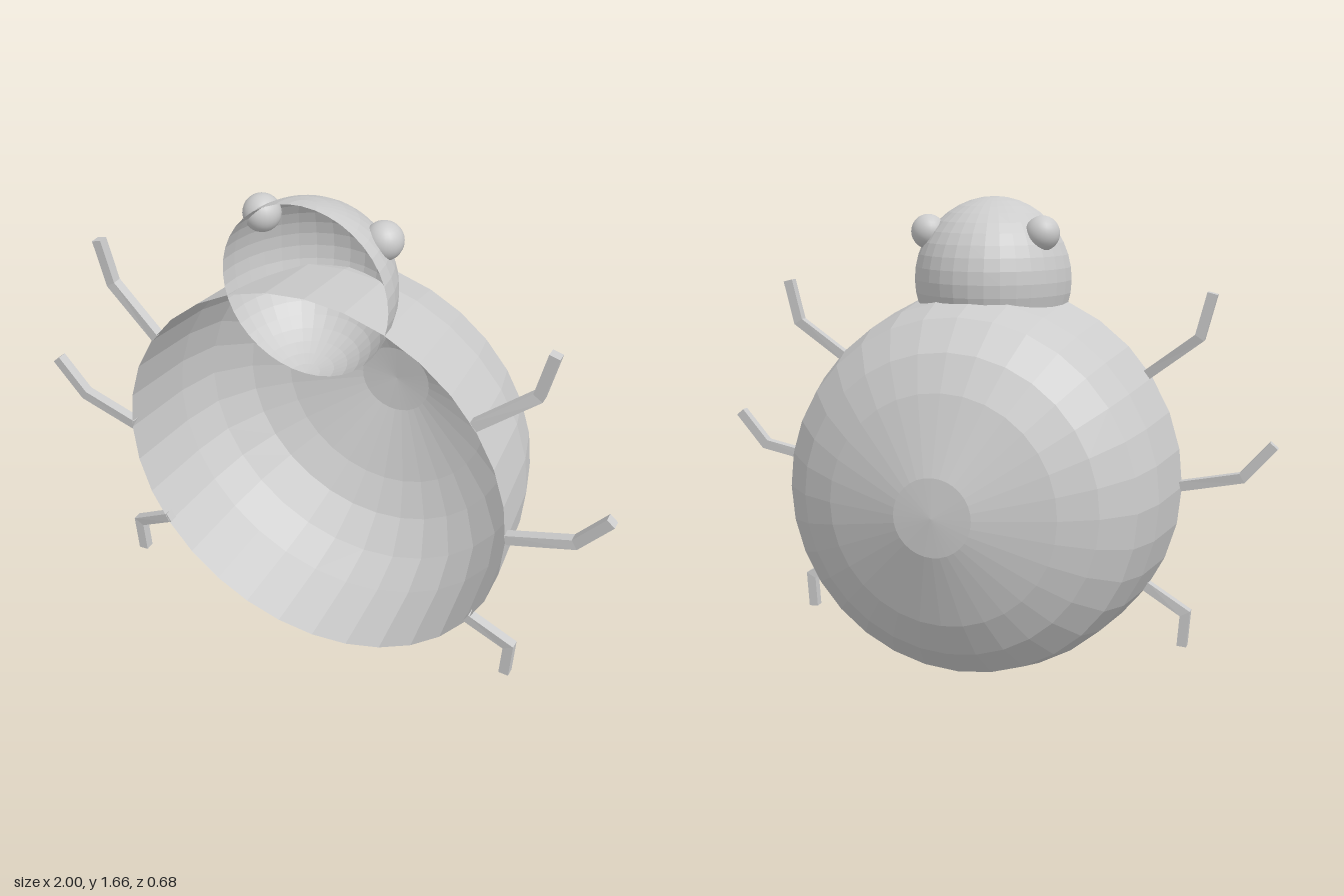
import * as THREE from 'three';

const material = new THREE.MeshStandardMaterial({ color: 0xcccccc, flatShading: true, side: THREE.DoubleSide });
const smooth = new THREE.MeshStandardMaterial({ color: 0xcccccc });

function addMesh(parent, name, geometry, mat = material) {
  const mesh = new THREE.Mesh(geometry, mat);
  mesh.name = name;
  parent.add(mesh);
  return mesh;
}

// Rectangular bar swept along a path of [x, y, z] points, mitred at the bends
function barGeometry(path, width, depth) {
  const pts = path.map((p) => new THREE.Vector3(...p));
  const dir = (i) => new THREE.Vector2(pts[i + 1].x - pts[i].x, pts[i + 1].y - pts[i].y).normalize();
  const positions = [];
  const index = [];
  const last = pts.length - 1;
  pts.forEach((p, i) => {
    const a = dir(Math.max(i - 1, 0));
    const b = dir(Math.min(i, last - 1));
    const t = a.clone().add(b).normalize();
    const half = width / 2 / t.dot(a);
    for (const [s, d] of [[-1, -1], [1, -1], [1, 1], [-1, 1]]) {
      positions.push(p.x - t.y * half * s, p.y + t.x * half * s, p.z + d * depth / 2);
    }
    if (i === last) return;
    for (let k = 0; k < 4; k++) {
      const q = i * 4 + k;
      const r = i * 4 + (k + 1) % 4;
      index.push(q, r, r + 4, q, r + 4, q + 4);
    }
  });
  const e = last * 4;
  index.push(0, 2, 1, 0, 3, 2, e, e + 1, e + 2, e, e + 2, e + 3);
  const geometry = new THREE.BufferGeometry();
  geometry.setAttribute('position', new THREE.Float32BufferAttribute(positions, 3));
  geometry.setIndex(index);
  geometry.computeVertexNormals();
  return geometry;
}

export function createModel() {
  const model = new THREE.Group();
  model.name = 'beetle';

  // Hollow domed shell, open at the front: [radius, z]
  const profile = [[0, -0.34], [0.13, -0.33], [0.385, -0.245], [0.505, -0.18],
    [0.605, -0.075], [0.647, 0.07], [0.677, 0.335]];
  const shellGeometry = new THREE.LatheGeometry(profile.map(([r, z]) => new THREE.Vector2(r, z)), 32);
  shellGeometry.rotateX(Math.PI / 2);
  addMesh(model, 'shell', shellGeometry).position.set(0, 0.682, 0);

  // Hollow half-dome head, set through the top of the shell
  const head = addMesh(model, 'head', new THREE.SphereGeometry(1, 16, 20, Math.PI, Math.PI));
  head.scale.set(0.275, 0.281, 0.308);
  head.position.set(0, 1.38, 0.335);

  // Hip, knee and foot of each left leg
  const legs = {
    upperLeg: [[0.55, 1.07, 0.318], [0.728, 1.207, 0.285], [0.765, 1.355, 0.285]],
    middleLeg: [[0.675, 0.69, 0.318], [0.885, 0.738, 0.3], [0.985, 0.855, 0.3]],
    lowerLeg: [[0.565, 0.322, 0.318], [0.71, 0.24, 0.303], [0.702, 0.12, 0.303]],
  };
  for (const [side, sign] of [['left', 1], ['right', -1]]) {
    for (const [name, path] of Object.entries(legs)) {
      const sidePath = path.map(([x, y, z]) => [x * sign, y, z]);
      addMesh(model, `${side} ${name}`, barGeometry(sidePath, 0.034, 0.032));
    }
    const eye = addMesh(model, `${side} eye`, new THREE.SphereGeometry(0.059, 24, 16), smooth);
    eye.position.set(0.202 * sign, 1.543, 0.213);
  }
  return model;
}
